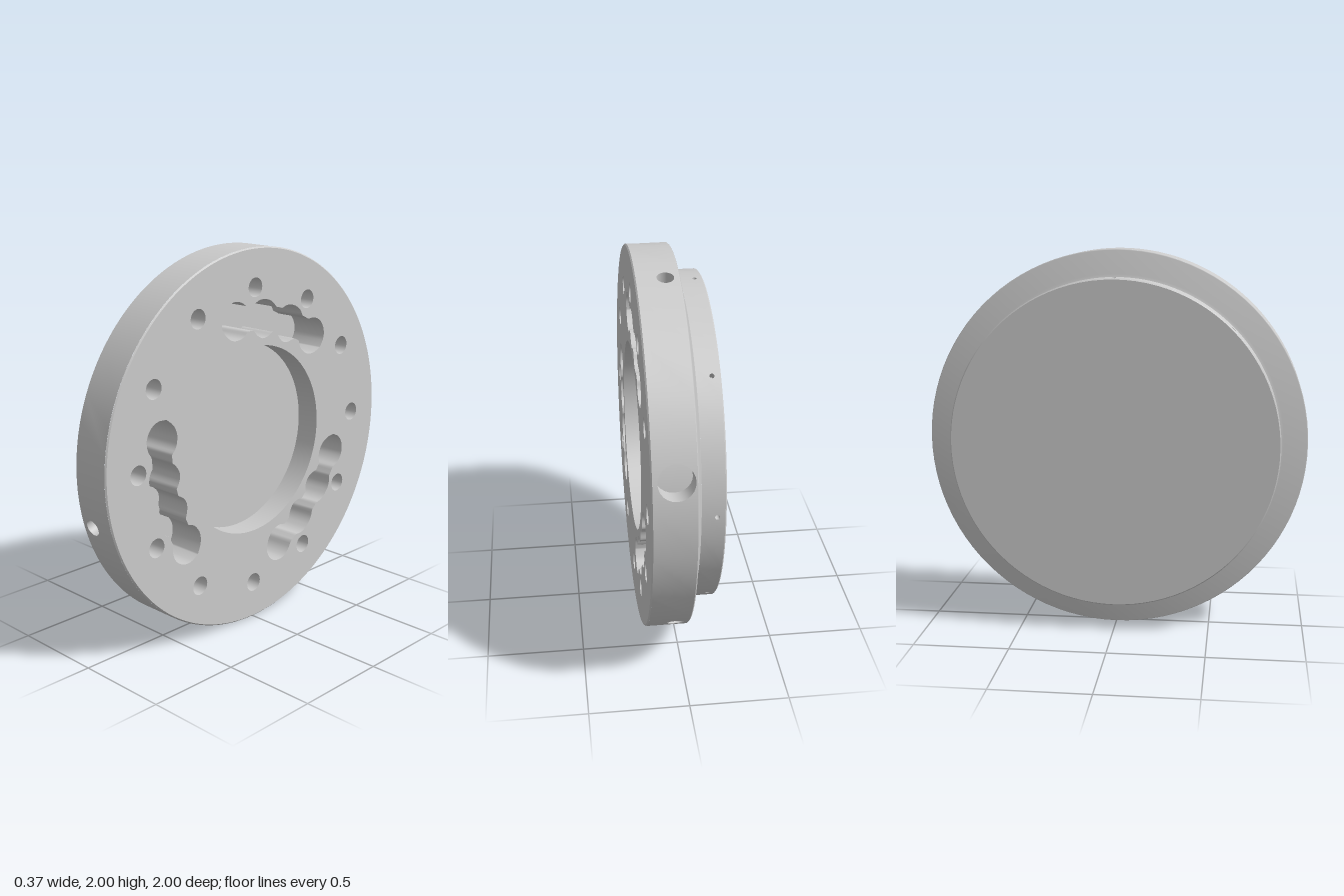
import * as THREE from 'three';
import { mergeGeometries } from 'three/addons/utils/BufferGeometryUtils.js';

const material = new THREE.MeshStandardMaterial({ color: 0xcccccc });
const rad = THREE.MathUtils.degToRad;
const FACE_X = 0.183, BACK_X = -0.183;
const V2 = (x, y) => new THREE.Vector2(x, y);

// Closed loop of points around a circle
function circle(u, v, r, n) {
  return Array.from({ length: n }, (_, i) => {
    const a = (i / n) * Math.PI * 2;
    return V2(u + r * Math.cos(a), v + r * Math.sin(a));
  });
}

// Surface maps: (u, v, depth below the surface) -> position
const faceMap = (u, v, d) => new THREE.Vector3(FACE_X - d, 1 + v, -u);
const wallMap = (radius, centreAngle) => (u, v, d) => {
  const a = centreAngle - u / radius;
  return new THREE.Vector3(v, 1 + (radius - d) * Math.sin(a), (radius - d) * Math.cos(a));
};

// Sheet with cut-outs, laid onto a mapped surface
function sheet(outline, holes, map, depth = 0) {
  const shape = new THREE.Shape(outline);
  shape.holes = holes.map((h) => new THREE.Path(h));
  const geo = new THREE.ShapeGeometry(shape);
  const pos = geo.attributes.position, nor = geo.attributes.normal;
  for (let i = 0; i < pos.count; i++) {
    const u = pos.getX(i), v = pos.getY(i);
    const p = map(u, v, depth), n = map(u, v, depth - 1).sub(p).normalize();
    pos.setXYZ(i, p.x, p.y, p.z);
    nor.setXYZ(i, n.x, n.y, n.z);
  }
  return geo;
}

// Inner wall and floor of a blind hole; loop runs counter-clockwise
function pocket(loop, depth, map) {
  const pos = [], uv = [], idx = [], n = loop.length;
  loop.forEach((p, i) => {
    for (const d of [0, depth]) {
      pos.push(...map(p.x, p.y, d).toArray());
      uv.push(i / n, d);
    }
    const a = 2 * i, b = 2 * ((i + 1) % n);
    idx.push(a, b, a + 1, b, b + 1, a + 1);
  });
  const wall = new THREE.BufferGeometry();
  wall.setAttribute('position', new THREE.Float32BufferAttribute(pos, 3));
  wall.setAttribute('uv', new THREE.Float32BufferAttribute(uv, 2));
  wall.setIndex(idx);
  wall.computeVertexNormals();
  return mergeGeometries([wall, sheet(loop, [], map, depth)]);
}

// Scalloped slot: four overlapping bores along an arc, joined by necks
function slotLoop(startDeg) {
  const bores = [0.66, 0.635, 0.635, 0.66].map((r, i) => ({ r, a: startDeg + 18 * i }));
  const inner = [], outer = [], R = 0.1, reach = 8.9, steps = 72;
  for (let i = 0; i <= steps; i++) {
    const t = i / steps, deg = startDeg - reach + t * (54 + 2 * reach);
    const k = THREE.MathUtils.clamp((deg - startDeg) / 18, 0, 3);
    const j = Math.min(2, Math.floor(k));
    const mid = THREE.MathUtils.lerp(bores[j].r, bores[j + 1].r, k - j);
    let half = k > 0 && k < 3 ? 0.065 : 0.004;
    for (const b of bores) {
      const off = rad(deg - b.a) * b.r;
      if (Math.abs(off) < R) half = Math.max(half, Math.sqrt(R * R - off * off));
    }
    const c = -Math.cos(rad(deg)), s = Math.sin(rad(deg));
    outer.push(V2((mid + half) * c, (mid + half) * s));
    inner.push(V2((mid - half) * c, (mid - half) * s));
  }
  const loop = [...outer, ...inner.reverse()];
  return THREE.ShapeUtils.isClockWise(loop) ? loop.reverse() : loop;
}

// Cylindrical wall made of 24 curved panels, with radial holes drilled in
function drilledWall(radius, x0, x1, holes) {
  const parts = [], half = (radius * Math.PI) / 24, n = 8;
  for (let k = 0; k < 24; k++) {
    const map = wallMap(radius, rad(k * 15)), outline = [];
    for (let i = 0; i <= n; i++) outline.push(V2(-half + (2 * half * i) / n, x0));
    for (let i = n; i >= 0; i--) outline.push(V2(-half + (2 * half * i) / n, x1));
    const here = holes.filter((h) => Math.round(h.deg / 15) === k);
    const loops = here.map((h) => circle(-radius * rad(h.deg - k * 15), h.x, h.r, 24));
    parts.push(sheet(outline, loops, map));
    loops.forEach((l, i) => parts.push(pocket(l, here[i].depth, map)));
  }
  return mergeGeometries(parts);
}

// Surface of revolution about the x axis; points are (radius, x)
function turned(points) {
  const g = new THREE.LatheGeometry(points.map((p) => V2(...p)), 96);
  return g.rotateZ(-Math.PI / 2).translate(0, 1, 0);
}

export function createModel() {
  const group = new THREE.Group();
  const add = (name, geo) => {
    const mesh = new THREE.Mesh(geo, material);
    mesh.name = name;
    group.add(mesh);
  };

  // Front face cut-outs
  const bore = circle(0, 0, 0.5, 96);
  const slots = [78, 198, 318].map(slotLoop);
  const bolts = Array.from({ length: 12 }, (_, i) =>
    circle(0.8 * Math.cos(rad(30 * i)), 0.8 * Math.sin(rad(30 * i)), 0.05, 24));
  add('frontFace', sheet(circle(0, 0, 0.993, 192), [bore, ...slots, ...bolts], faceMap));
  add('centralBore', pocket(bore, 0.13, faceMap));
  slots.forEach((l) => add('scallopedSlot', pocket(l, 0.21, faceMap)));
  bolts.forEach((l) => add('boltHole', pocket(l, 0.15, faceMap)));

  // Outer rim with small and large radial holes
  const rimHoles = [105, 225, 285, 345].map((deg) => ({ deg, x: 0.035, r: 0.042, depth: 0.15 }));
  for (const deg of [165, 268]) rimHoles.push({ deg, x: 0.065, r: 0.088, depth: 0.12 });
  add('outerRim', drilledWall(1, -0.03, FACE_X - 0.007, rimHoles));
  add('rimBevel', turned([[1, FACE_X - 0.007], [0.993, FACE_X]]));

  // Narrower back step with eight pin holes
  const pins = Array.from({ length: 8 }, (_, i) => ({ deg: 45 * i, x: -0.14, r: 0.012, depth: 0.05 }));
  add('backStep', drilledWall(0.86, BACK_X + 0.006, -0.065, pins));
  add('shoulder', turned([[0.86, -0.065], [0.875, -0.06], [0.995, -0.036], [1, -0.03]]));
  add('backBevel', turned([[0.854, BACK_X], [0.86, BACK_X + 0.006]]));
  add('backFace', turned([[0, BACK_X], [0.854, BACK_X]]));
  return group;
}
